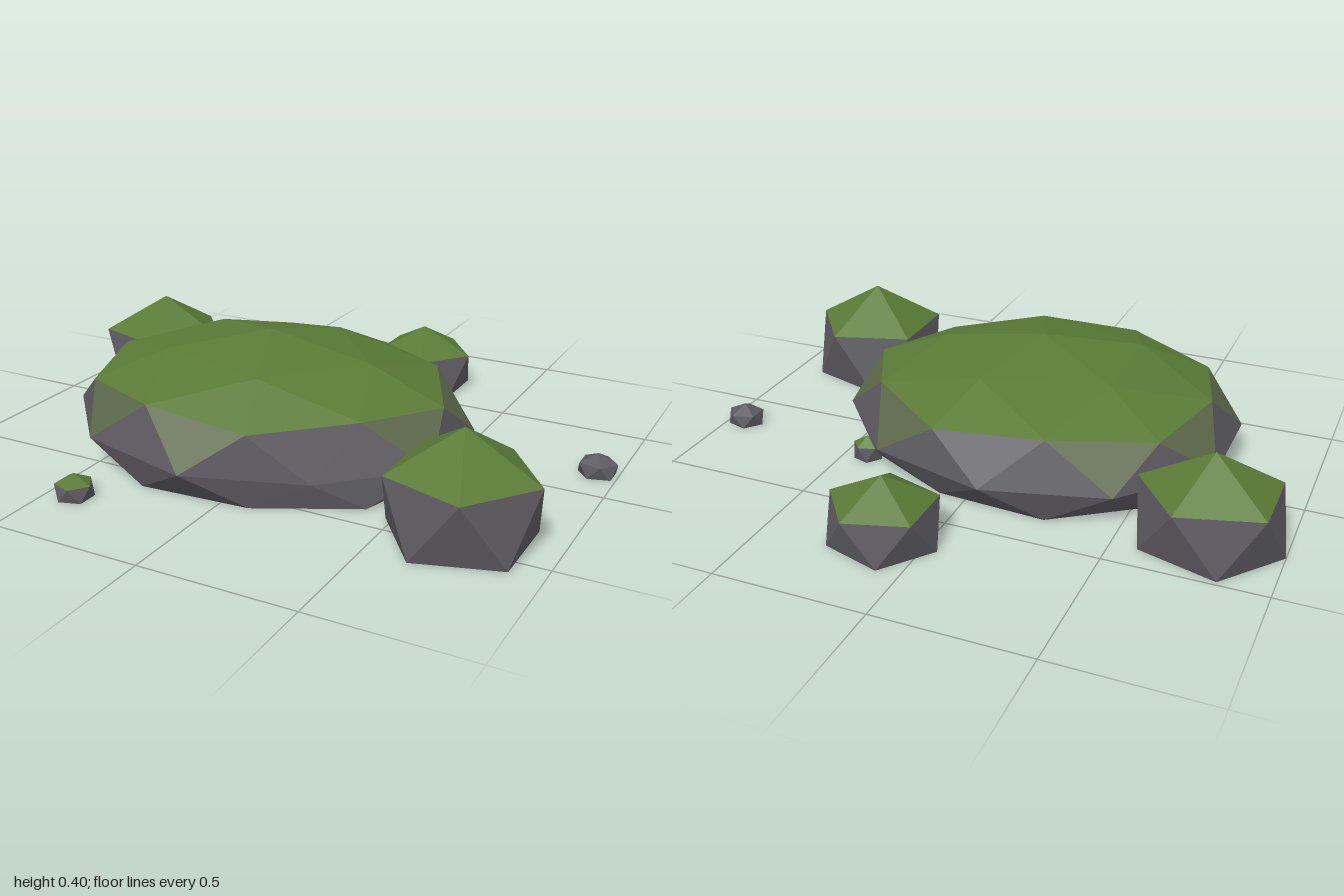
import * as THREE from 'three';

const paint = (color) => new THREE.MeshStandardMaterial({ color, flatShading: true });
const STONE = paint(0x5c5a60);
const BLEND = paint(0x5c684a);
const MOSS = paint(0x5a7a36);

// Faceted ball with one corner pointing straight up and the next ring starting at +x
function poleUpBall(detail) {
  return new THREE.IcosahedronGeometry(1, detail)
    .rotateX(-Math.atan((1 + Math.sqrt(5)) / 2))
    .rotateY(Math.PI / 2);
}

// Stretches the ball, flattens it on the ground and sorts its faces by how much they face up
function makeRock(name, { detail = 0, centre, radii, mossy = true, shape }) {
  const position = poleUpBall(detail).attributes.position;
  const scale = new THREE.Vector3(...radii);
  const origin = new THREE.Vector3(...centre);
  const faces = { Stone: [], Blend: [], Moss: [] };
  const normal = new THREE.Vector3();

  for (let i = 0; i < position.count; i += 3) {
    const corners = [0, 1, 2].map((k) => {
      const p = new THREE.Vector3().fromBufferAttribute(position, i + k);
      if (detail && p.y > 0.8 && p.y < 0.9) p.y = 0.79;
      p.multiply(scale).add(origin);
      if (shape) shape(p);
      p.y = Math.max(p.y, 0);
      return p;
    });
    const triangle = new THREE.Triangle(...corners);
    if (triangle.getArea() < 1e-7) continue;
    triangle.getNormal(normal);
    let kind = 'Stone';
    if (mossy && normal.y > 0.74) kind = 'Moss';
    else if (mossy && normal.y > 0.58) kind = 'Blend';
    corners.forEach((p) => faces[kind].push(p.x, p.y, p.z));
  }

  const rock = new THREE.Group();
  rock.name = name;
  const materials = { Stone: STONE, Blend: BLEND, Moss: MOSS };
  for (const [kind, points] of Object.entries(faces)) {
    if (!points.length) continue;
    const geometry = new THREE.BufferGeometry();
    geometry.setAttribute('position', new THREE.Float32BufferAttribute(points, 3));
    geometry.computeVertexNormals();
    const mesh = new THREE.Mesh(geometry, materials[kind]);
    mesh.name = name + kind;
    rock.add(mesh);
  }
  return rock;
}

export function createModel() {
  const model = new THREE.Group();
  model.name = 'mossyRocks';

  // Large flat boulder with a chipped front left corner
  const chip = new THREE.Plane(new THREE.Vector3(0.533, 0.304, 0.79).normalize(), -0.555);
  model.add(makeRock('boulder', {
    detail: 1,
    centre: [-0.085, 0.11, 0.11],
    radii: [0.675, 0.29, 0.56],
    shape: (p) => { if (chip.distanceToPoint(p) > 0) chip.projectPoint(p.clone(), p); },
  }));

  // Medium rocks around the boulder
  model.add(makeRock('frontRock', { centre: [0.71, 0.09, 0.43], radii: [0.26, 0.245, 0.25] }));
  model.add(makeRock('sideRock', { centre: [-0.77, 0.08, -0.29], radii: [0.257, 0.225, 0.23] }));
  model.add(makeRock('backRock', { centre: [0.13, 0.062, -0.65], radii: [0.197, 0.158, 0.185] }));

  // Pebbles
  model.add(makeRock('frontPebble', { centre: [-0.41, 0.02, 0.74], radii: [0.067, 0.057, 0.067] }));
  model.add(makeRock('backPebble', { centre: [0.415, 0.025, -0.22], radii: [0.056, 0.055, 0.05] }));
  model.add(makeRock('barePebble', { centre: [0.935, 0.018, -0.16], radii: [0.07, 0.053, 0.062], mossy: false }));

  return model;
}
